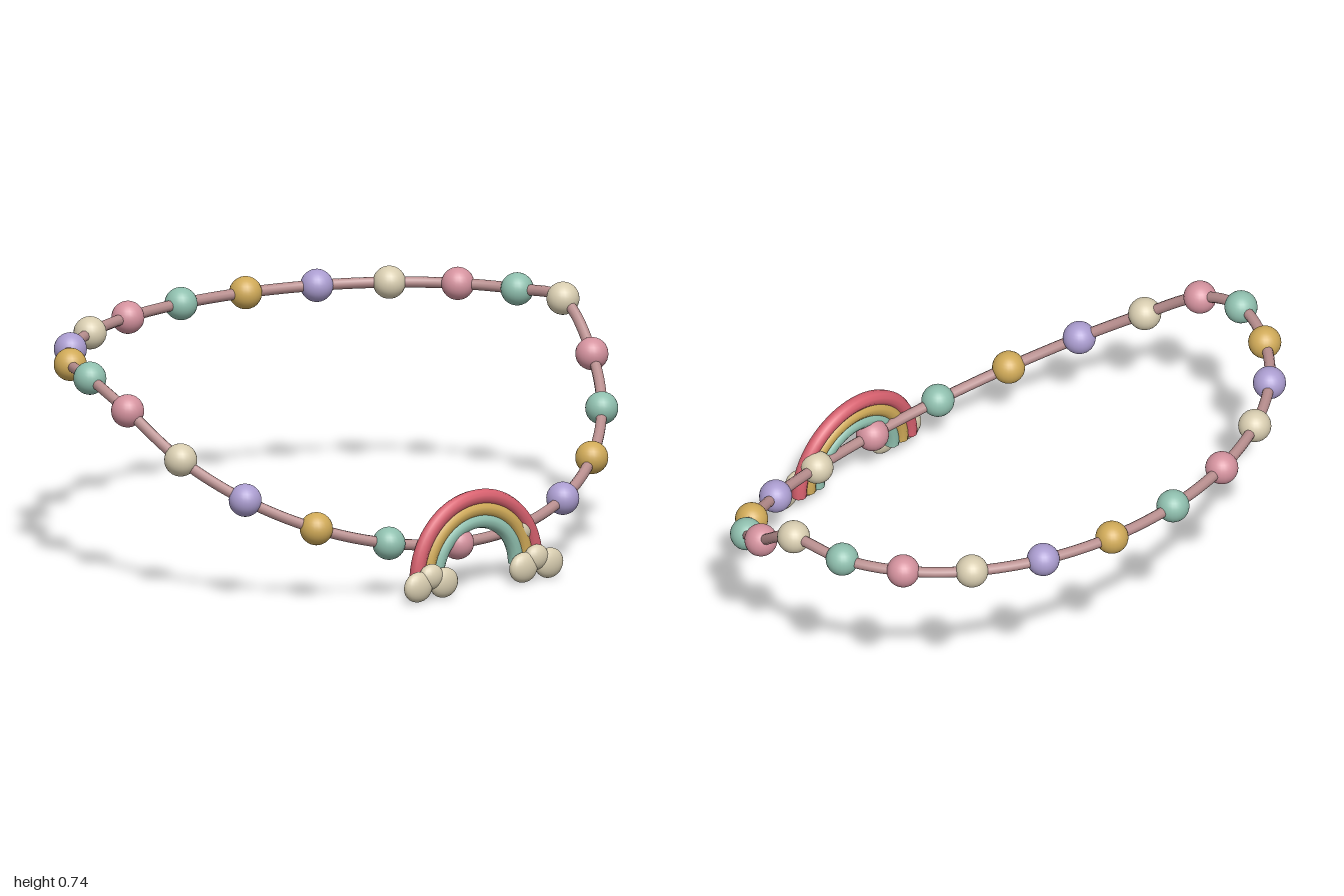
import * as THREE from 'three';

const mat = (name, color) => {
  const m = new THREE.MeshStandardMaterial({ color });
  m.name = name;
  return m;
};

export function createModel() {
  const cream = mat('cream', 0xd8cdb0);
  const pink = mat('pink', 0xd4929e);
  const green = mat('green', 0x8fbfae);
  const gold = mat('gold', 0xd0aa58);
  const purple = mat('purple', 0xab9dd0);
  const cordMat = mat('dusty rose', 0xb98f8f);
  const red = mat('coral red', 0xd8616f);
  const root = new THREE.Group();
  root.name = 'beadNecklace';
  const add = (parent, name, geometry, material, x = 0, y = 0, z = 0) => {
    const m = new THREE.Mesh(geometry, material);
    m.name = name;
    m.position.set(x, y, z);
    parent.add(m);
    return m;
  };

  // Oval loop: flat behind, drooping toward the front
  const COUNT = 23;
  const points = [];
  for (let i = 0; i < COUNT; i++) {
    const a = (i / COUNT) * Math.PI * 2;
    const s = Math.sin(a);
    points.push(new THREE.Vector3(
      0.95 * Math.cos(a) - 0.004, 0.685 - 0.53 * Math.max(0, s), 0.72 * s - 0.018));
  }

  // Cord
  const path = new THREE.CatmullRomCurve3(points, true);
  add(root, 'cord', new THREE.TubeGeometry(path, 184, 0.018, 10, true), cordMat);

  // Beads in a repeating run of five colours
  const beads = new THREE.Group();
  beads.name = 'beads';
  root.add(beads);
  const beadGeo = new THREE.SphereGeometry(0.054, 24, 16);
  const run = [cream, pink, green, gold, purple];
  points.forEach((p, i) => add(beads, 'bead', beadGeo, run[i % 5], p.x, p.y, p.z));

  // Rainbow pendant: three half rings with capped ends
  const pendant = new THREE.Group();
  pendant.name = 'rainbowPendant';
  pendant.position.set(-0.005, 0, 0);
  root.add(pendant);
  const TUBE = 0.025, BASE = 0.058, Z = 0.717;
  const capGeo = new THREE.CircleGeometry(TUBE, 10).rotateX(Math.PI / 2);
  [[0.245, red, 'outerArch'], [0.205, gold, 'middleArch'], [0.165, green, 'innerArch']]
    .forEach(([r, material, name]) => {
      add(pendant, name, new THREE.TorusGeometry(r, TUBE, 10, 40, Math.PI), material, 0, BASE, Z);
      for (const side of [-1, 1]) add(pendant, name + 'End', capGeo, material, side * r, BASE, Z);
    });

  // Flattened cloud puffs at each foot of the rainbow
  const puffGeo = new THREE.SphereGeometry(1, 20, 14);
  for (const side of [-1, 1]) {
    const cloud = new THREE.Group();
    cloud.name = side > 0 ? 'leftCloud' : 'rightCloud';
    cloud.position.x = side * 0.219;
    pendant.add(cloud);
    for (const [x, y, rx, ry] of [[-0.053, 0.05, 0.055, 0.05], [0.053, 0.05, 0.055, 0.05], [0, 0.077, 0.045, 0.042]]) {
      add(cloud, 'cloudPuff', puffGeo, cream, x, y, 0.757).scale.set(rx, ry, 0.029);
    }
  }
  return root;
}
